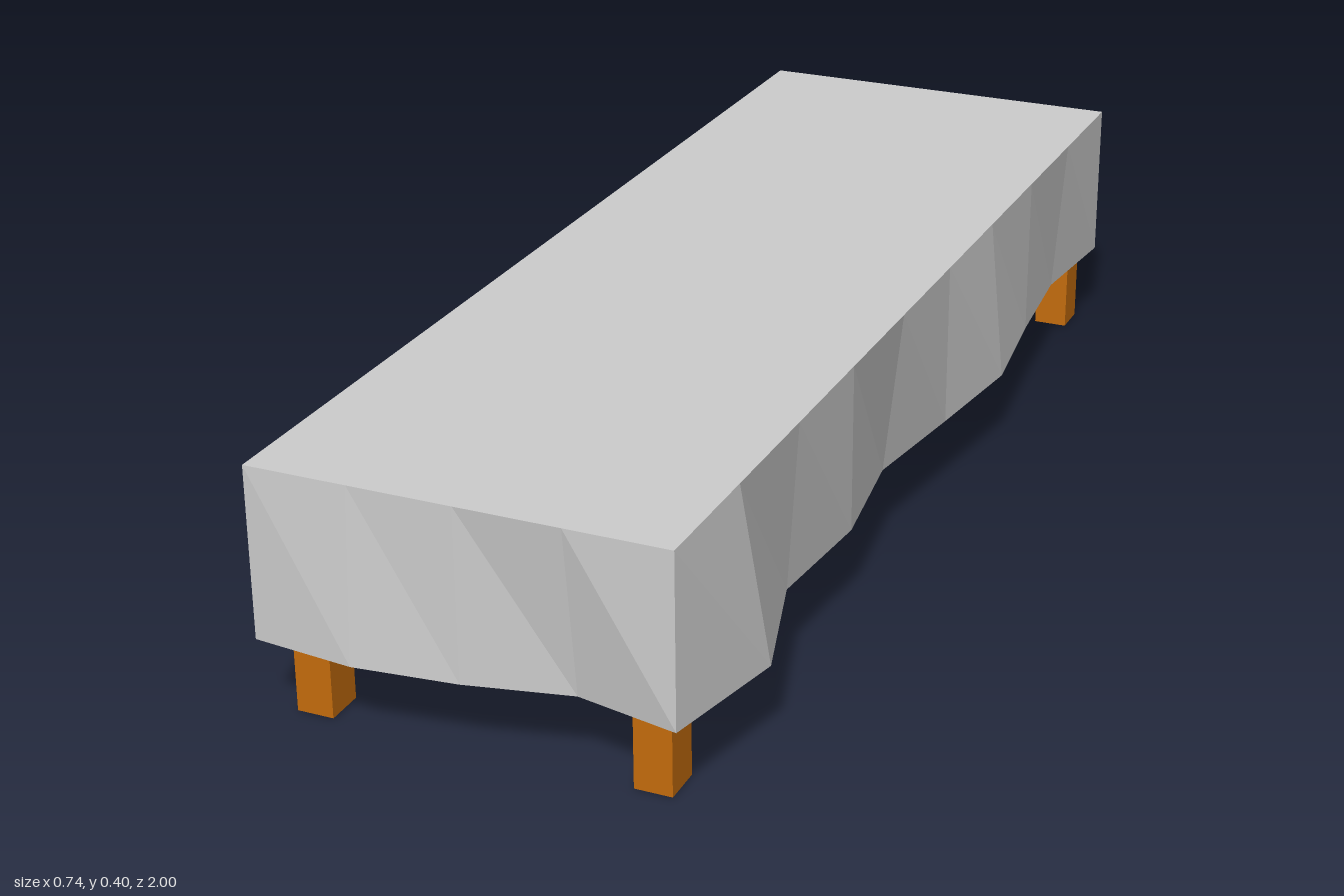
import * as THREE from 'three';

const X0 = -0.335, X1 = 0.32, Z0 = -0.97, Z1 = 0.98;
const TOP = 0.404, HEM = 0.13, THICK = 0.03;

// Outward sway of the hem between the corners, one list per side, anticlockwise from above
const SIDES = [
  { from: [X0, Z1], to: [X1, Z1], out: [0, 1], sway: [0.017, 0, -0.035] },
  { from: [X1, Z1], to: [X1, Z0], out: [1, 0], sway: [0.047, -0.018, 0, -0.03, 0, 0.027, 0, -0.02] },
  { from: [X1, Z0], to: [X0, Z0], out: [0, -1], sway: [-0.008, -0.028, 0.03] },
  { from: [X0, Z0], to: [X0, Z1], out: [-1, 0], sway: [0, -0.035, 0, 0.036, 0, -0.025, 0.038, 0.028] },
];

function clothGeometry() {
  const outerTop = [], outerHem = [], innerHem = [], innerTop = [];
  SIDES.forEach(({ from, to, out, sway }, s) => {
    const prev = SIDES[(s + 3) % 4].out;
    [0, ...sway].forEach((d, i) => {
      const t = i / (sway.length + 1);
      const x = from[0] + (to[0] - from[0]) * t;
      const z = from[1] + (to[1] - from[1]) * t;
      // Corners are inset along both neighbouring sides
      const nx = out[0] + (i ? 0 : prev[0]);
      const nz = out[1] + (i ? 0 : prev[1]);
      const point = (y, k) => [x + nx * k, y, z + nz * k];
      outerTop.push(point(TOP, 0));
      outerHem.push(point(HEM, d));
      innerHem.push(point(HEM, d - THICK));
      innerTop.push(point(TOP - THICK, -THICK));
    });
  });

  const pos = [];
  const tri = (a, b, c) => pos.push(...a, ...b, ...c);
  const n = outerTop.length;
  const rings = [outerTop, outerHem, innerHem, innerTop];
  const cx = (X0 + X1) / 2, cz = (Z0 + Z1) / 2;
  for (let i = 0; i < n; i++) {
    const j = (i + 1) % n;
    // Outer drape, hem rim and inner drape
    for (let r = 0; r < 3; r++) {
      const p = rings[r], q = rings[r + 1];
      tri(p[i], q[i], q[j]);
      tri(p[i], q[j], p[j]);
    }
    // Flat top and its underside
    tri([cx, TOP, cz], outerTop[i], outerTop[j]);
    tri([cx, TOP - THICK, cz], innerTop[j], innerTop[i]);
  }
  const geo = new THREE.BufferGeometry();
  geo.setAttribute('position', new THREE.Float32BufferAttribute(pos, 3));
  geo.computeVertexNormals();
  return geo;
}

export function createModel() {
  const clothGrey = new THREE.MeshStandardMaterial({ color: 0xcccccc });
  clothGrey.name = 'clothGrey';
  const legWood = new THREE.MeshStandardMaterial({ color: 0xc46c0c });
  legWood.name = 'legWood';

  const group = new THREE.Group();
  group.name = 'clothCoveredTable';

  const cloth = new THREE.Mesh(clothGeometry(), clothGrey);
  cloth.name = 'tablecloth';
  group.add(cloth);

  // Four square legs reaching up to the underside
  const legHeight = TOP - THICK;
  const legGeo = new THREE.BoxGeometry(0.059, legHeight, 0.064);
  for (const [x, side] of [[0.266, 'Left'], [-0.27, 'Right']]) {
    for (const [z, end] of [[0.908, 'front'], [-0.907, 'back']]) {
      const leg = new THREE.Mesh(legGeo, legWood);
      leg.name = `${end}${side}Leg`;
      leg.position.set(x, legHeight / 2, z);
      group.add(leg);
    }
  }
  return group;
}
